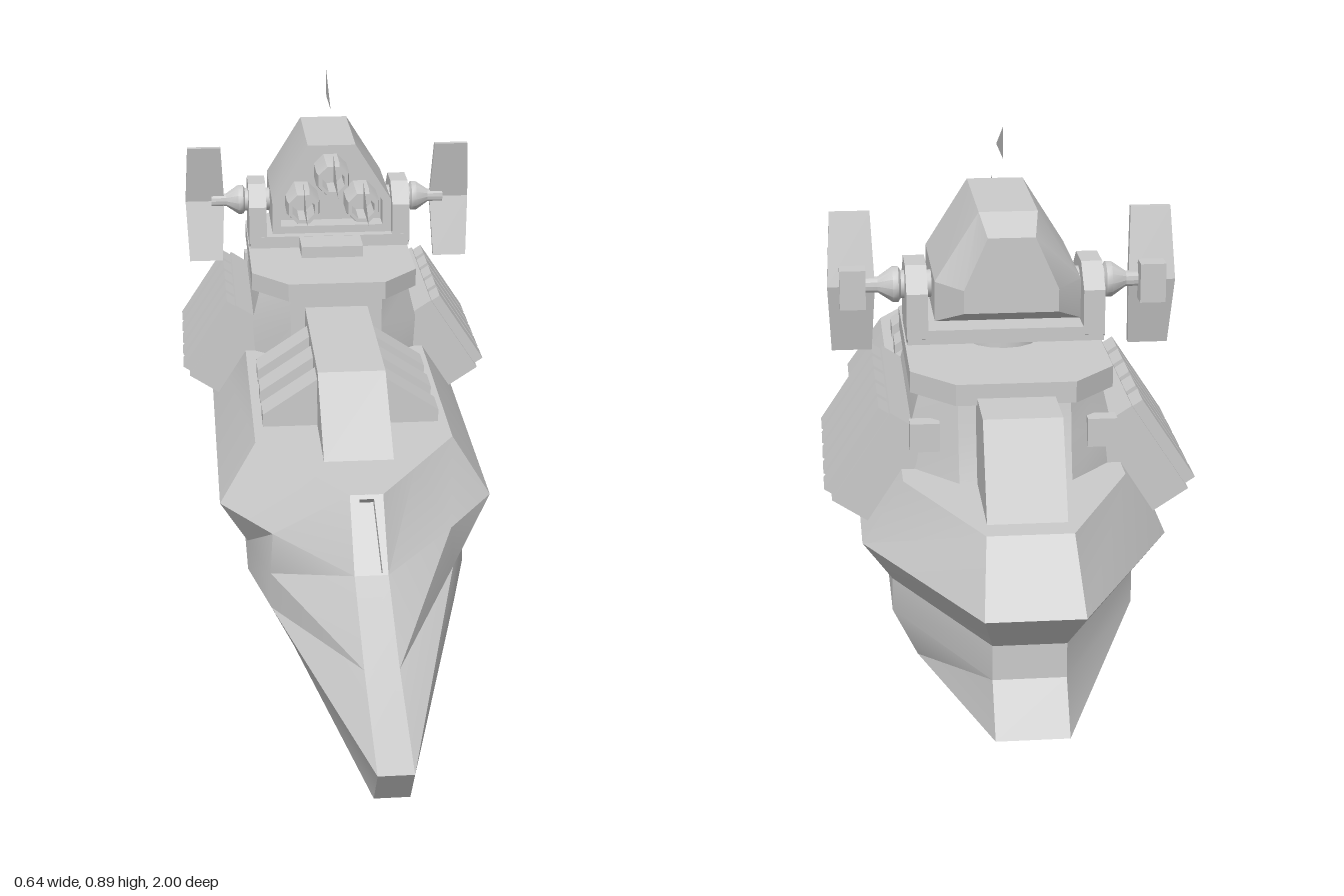
import * as THREE from 'three';
import { toCreasedNormals } from 'three/addons/utils/BufferGeometryUtils.js';

const grey = new THREE.MeshStandardMaterial({ color: 0xcccccc });
const thin = new THREE.MeshStandardMaterial({ color: 0xcccccc, side: THREE.DoubleSide });

function add(parent, name, geo, pos = [0, 0, 0], mat = grey) {
  const m = new THREE.Mesh(geo, mat);
  m.name = name;
  m.position.set(...pos);
  parent.add(m);
  return m;
}

const box = (w, h, d) => new THREE.BoxGeometry(w, h, d);

// Skin closed rings of [x, y, z] points, with flat caps on both ends
function loft(rings, skip = () => false) {
  const p = [];
  const n = rings[0].length;
  const tri = (a, b, c) => p.push(...a, ...b, ...c);
  for (let i = 0; i < rings.length - 1; i++) {
    for (let j = 0; j < n; j++) {
      if (skip(i, j)) continue;
      const k = (j + 1) % n;
      const a = rings[i][j], b = rings[i][k], c = rings[i + 1][k], d = rings[i + 1][j];
      tri(a, b, c);
      tri(a, c, d);
    }
  }
  const first = rings[0], last = rings[rings.length - 1];
  for (let j = 1; j < n - 1; j++) {
    tri(first[0], first[j + 1], first[j]);
    tri(last[0], last[j], last[j + 1]);
  }
  const g = new THREE.BufferGeometry();
  g.setAttribute('position', new THREE.Float32BufferAttribute(p, 3));
  return toCreasedNormals(g, 0.45);
}

// Horizontal ring from half an outline of [x, z], listed bow to stern
const deckRing = (y, half) => [
  ...half.map(([x, z]) => [x, y, z]),
  ...half.slice().reverse().map(([x, z]) => [-x, y, z]),
];

// Extrude a side profile of [z, y] across x, centred
function sideProfile(points, width) {
  const s = new THREE.Shape(points.map(([z, y]) => new THREE.Vector2(-z, y)));
  const g = new THREE.ExtrudeGeometry(s, { depth: width, bevelEnabled: false });
  return g.translate(0, 0, -width / 2).rotateY(Math.PI / 2);
}

function buildHull(ship) {
  const rings = [
    deckRing(0, [[0.03, 0.94], [0.13, 0.42], [0.165, 0.26], [0.165, -0.66], [0.06, -0.975]]),
    deckRing(0.08, [[0.03, 1], [0.17, 0.42], [0.207, 0.26], [0.207, -0.65], [0.06, -0.92]]),
    deckRing(0.14, [[0.03, 0.77], [0.17, 0.4], [0.207, 0.26], [0.207, -0.65], [0.06, -0.92]]),
    deckRing(0.22, [[0.03, 0.58], [0.165, 0.4], [0.258, 0.26], [0.258, -0.68], [0.08, -1]]),
    deckRing(0.33, [[0.03, 0.48], [0.1, 0.37], [0.188, 0.23], [0.188, -0.68], [0.07, -0.92]]),
  ];
  add(ship, 'hull', loft(rings, (i, j) => i === 3 && j === 9));

  // Sunken slot in the sloping stem
  const stem = new THREE.Group();
  stem.name = 'stemSlot';
  stem.position.set(0, 0.275, 0.53);
  stem.rotation.x = -0.738;
  ship.add(stem);
  const face = new THREE.Shape([[-0.03, -0.0745], [0.03, -0.0745], [0.03, 0.0745], [-0.03, 0.0745]].map((q) => new THREE.Vector2(...q)));
  face.holes.push(new THREE.Path([[-0.02, -0.07], [-0.013, 0.066], [0.013, 0.066], [0.02, -0.07]].map((q) => new THREE.Vector2(...q))));
  add(stem, 'stemFrame', new THREE.ExtrudeGeometry(face, { depth: 0.02, bevelEnabled: false }), [0, 0, -0.02]);
  add(stem, 'stemPanel', box(0.058, 0.14, 0.006), [0, 0, -0.022]);
}

function buildSuperstructure(ship) {
  add(ship, 'foreCabin', sideProfile([[0.33, 0.33], [0.17, 0.445], [-0.25, 0.445], [-0.25, 0.33]], 0.13));
  add(ship, 'aftCabin', sideProfile([[-0.55, 0.33], [-0.55, 0.48], [-0.8, 0.48], [-0.875, 0.33]], 0.13));
  add(ship, 'turretBase', loft([
    deckRing(0.33, [[0.095, -0.2], [0.18, -0.27], [0.18, -0.61], [0.095, -0.7]]),
    deckRing(0.4, [[0.095, -0.2], [0.172, -0.26], [0.172, -0.61], [0.095, -0.68]]),
    deckRing(0.47, [[0.095, -0.2], [0.155, -0.26], [0.155, -0.61], [0.095, -0.67]]),
  ]));
  const plan = [[0.1, -0.175], [0.172, -0.255], [0.172, -0.625], [0.1, -0.7]];
  add(ship, 'turretPlatform', loft([deckRing(0.468, plan), deckRing(0.505, plan)]));

  // Sloped vents beside the fore cabin
  const vent = new THREE.Shape([[0.06, 0.33], [0.17, 0.33], [0.17, 0.355], [0.06, 0.428]].map((q) => new THREE.Vector2(...q)));
  for (const side of [0, Math.PI]) {
    for (const z of [0.122, 0.003, -0.113]) {
      const g = new THREE.ExtrudeGeometry(vent, { depth: 0.065, bevelEnabled: false });
      g.translate(0, 0, -0.0325).rotateY(side);
      add(ship, 'cabinVent', g, [0, 0, z]);
    }
  }
}

function buildRacks(ship) {
  for (const s of [1, -1]) {
    const rack = new THREE.Group();
    rack.name = s > 0 ? 'leftRack' : 'rightRack';
    ship.add(rack);
    add(rack, 'rackBody', box(0.13, 0.185, 0.365), [s * 0.202, 0.319, -0.443]).rotation.z = s * 0.58;
    for (let i = 0; i < 5; i++) {
      add(rack, 'launchTube', box(0.03, 0.173, 0.056), [s * 0.26, 0.359, -0.296 - i * 0.0735]).rotation.z = s * 0.58;
    }
    add(rack, 'rackBrace', box(0.05, 0.05, 0.03), [s * 0.15, 0.4, -0.65]);
  }
}

function buildTurret(ship) {
  const turret = new THREE.Group();
  turret.name = 'turret';
  ship.add(turret);
  add(turret, 'turretRing', new THREE.CylinderGeometry(0.065, 0.065, 0.03, 16), [0, 0.515, -0.45]);
  add(turret, 'yokeBar', box(0.34, 0.025, 0.155), [0, 0.532, -0.452]);
  add(turret, 'yokeFront', box(0.13, 0.024, 0.09), [0, 0.532, -0.345]);

  // Hollow-fronted gun housing, tapered at the back
  const hex = (z, c) => [...c.map(([x, y]) => [-x, y, z]), ...c.slice().reverse().map(([x, y]) => [x, y, z])];
  const outer = [[0.125, 0.57], [0.125, 0.64], [0.05, 0.76]];
  const inner = [[0.107, 0.586], [0.107, 0.638], [0.043, 0.744]];
  const rear = [[0.08, 0.6], [0.08, 0.64], [0.04, 0.73]];
  add(turret, 'gunHousing', loft([hex(-0.36, inner), hex(-0.315, inner), hex(-0.315, outer), hex(-0.555, outer), hex(-0.615, rear)]));

  // Hollow eight-sided barrels, each with a thin fin ahead of the muzzle
  const tube = [[0.037, -0.06], [0.037, 0.03], [0.033, 0.05], [0.025, 0.05], [0.025, -0.02], [0, -0.02]].map((q) => new THREE.Vector2(...q));
  const fin = () => new THREE.ShapeGeometry(new THREE.Shape([[0, 0], [0.12, 0], [0, 0.057]].map((q) => new THREE.Vector2(...q)))).rotateY(-Math.PI / 2);
  for (const [x, y] of [[0, 0.695], [0.062, 0.636], [-0.062, 0.636]]) {
    const g = toCreasedNormals(new THREE.LatheGeometry(tube, 8).rotateX(Math.PI / 2).rotateZ(Math.PI / 8), 0.4);
    add(turret, 'barrel', g, [x, y, -0.32]);
    add(turret, 'muzzleFin', fin(), [x, y, -0.263], thin);
  }
  add(turret, 'topFin', fin(), [0, 0.829, -0.463], thin);

  for (const s of [1, -1]) {
    // Yoke arm with clipped top corners
    add(turret, 'yokeArm', sideProfile([[-0.375, 0.53], [-0.39, 0.52], [-0.515, 0.52], [-0.53, 0.53], [-0.53, 0.61], [-0.485, 0.65], [-0.42, 0.65], [-0.375, 0.61]], 0.037), [s * 0.153, 0, 0]);

    // Pivot running out to the dish
    const pivot = [[0, 0.12], [0.025, 0.12], [0.025, 0.178], [0.032, 0.182], [0.032, 0.192], [0.014, 0.218], [0.014, 0.25], [0, 0.25]].map((q) => new THREE.Vector2(...q));
    const g = toCreasedNormals(new THREE.LatheGeometry(pivot, 12).rotateZ(-Math.PI / 2), 0.6);
    if (s < 0) g.rotateY(Math.PI);
    add(turret, 'dishPivot', g, [0, 0.607, -0.452]);
    add(turret, 'dishBracket', box(0.045, 0.07, 0.035), [s * 0.262, 0.607, -0.47]);

    // Tall folded dish plate, narrower at its ends
    const plate = box(0.083, 0.25, 0.013, 1, 2, 1);
    const dish = new THREE.BoxGeometry(0.083, 0.25, 0.013, 1, 2, 1);
    plate.dispose();
    const p = dish.attributes.position;
    for (let i = 0; i < p.count; i++) {
      const e = Math.abs(p.getY(i)) / 0.125;
      p.setX(i, p.getX(i) * (1 - 0.15 * e));
      p.setZ(i, p.getZ(i) + 0.03 * e);
    }
    add(turret, 'dishPlate', toCreasedNormals(dish, 0.2), [s * 0.264, 0.606, -0.453]);
  }
}

export function createModel() {
  const ship = new THREE.Group();
  ship.name = 'warship';
  buildHull(ship);
  buildSuperstructure(ship);
  buildRacks(ship);
  buildTurret(ship);
  return ship;
}
